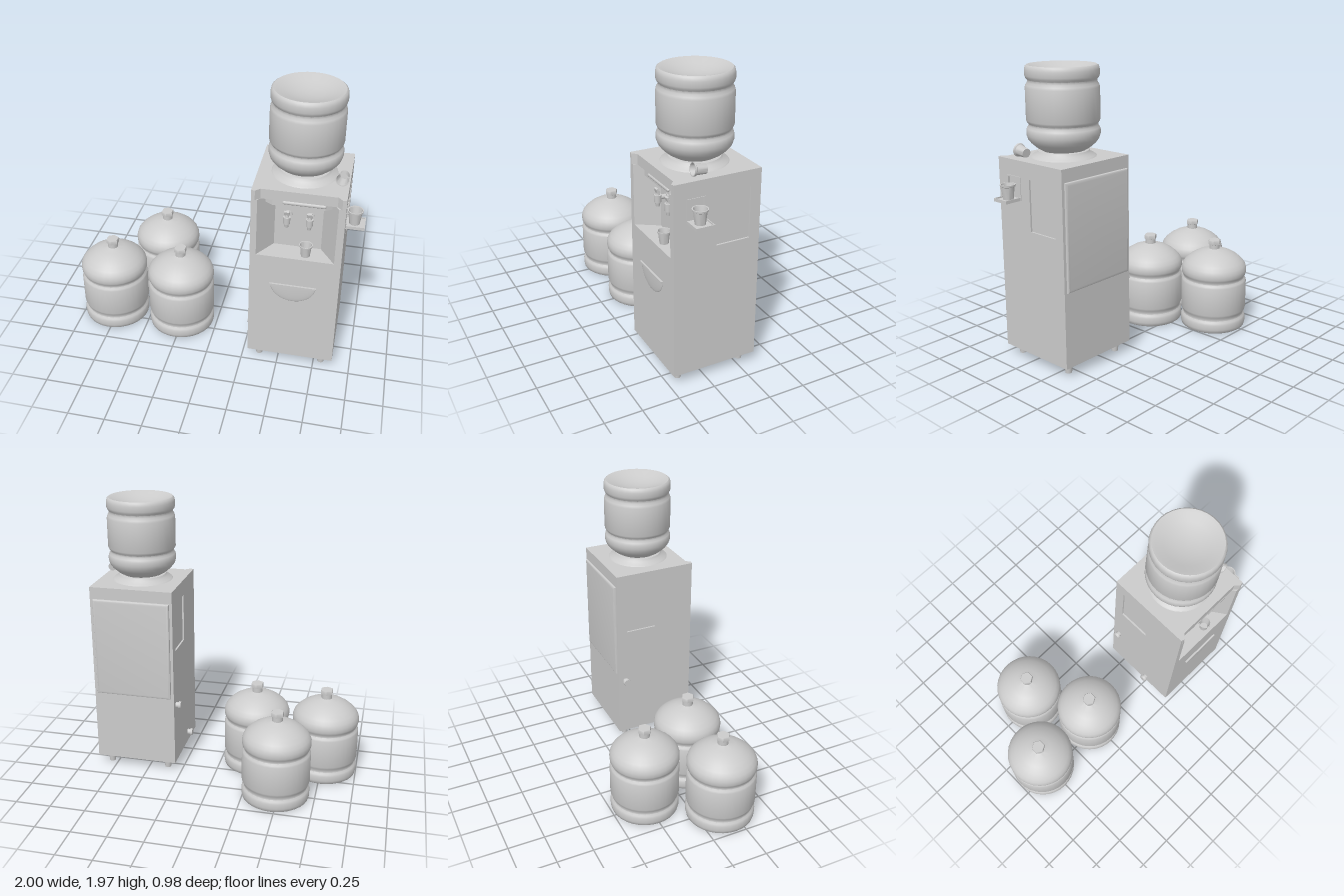
import * as THREE from 'three';
import { toCreasedNormals } from 'three/addons/utils/BufferGeometryUtils.js';

const material = new THREE.MeshStandardMaterial({ color: 0xcccccc });
const thin = new THREE.MeshStandardMaterial({ color: 0xcccccc, side: THREE.DoubleSide });
const CX = 0.585, CZ = 0.18; // cabinet centre

function add(parent, name, geometry, x = 0, y = 0, z = 0, mat = material) {
  const mesh = new THREE.Mesh(geometry, mat);
  mesh.name = name;
  mesh.position.set(x, y, z);
  parent.add(mesh);
  return mesh;
}

const shapeOf = (pts) => new THREE.Shape(pts.map(([a, b]) => new THREE.Vector2(a, b)));
const rect = (x0, y0, x1, y1) => [[x0, y0], [x1, y0], [x1, y1], [x0, y1]];
const lathe = (pts, sides = 24) =>
  toCreasedNormals(new THREE.LatheGeometry(pts.map(([r, y]) => new THREE.Vector2(r, y)), sides), 0.7);

// Upright prism from a plan outline given as [x, z]
function prism(plan, y0, y1) {
  const geo = new THREE.ExtrudeGeometry(shapeOf(plan.map(([x, z]) => [x, -z])), { depth: y1 - y0, bevelEnabled: false });
  geo.rotateX(-Math.PI / 2);
  geo.translate(0, y0, 0);
  return geo;
}

// Ribbed bottle with a dished base, a domed shoulder and a six-sided cap
function makeBottle(name) {
  const g = new THREE.Group();
  g.name = name;
  add(g, 'bottleBody', lathe([
    [0, 0.05], [0.08, 0.044], [0.15, 0.026], [0.2, 0.006], [0.222, 0], [0.232, 0.008],
    [0.237, 0.03], [0.237, 0.065], [0.232, 0.08], [0.222, 0.092], [0.222, 0.108], [0.232, 0.124], [0.237, 0.14],
    [0.237, 0.345], [0.232, 0.358], [0.222, 0.37], [0.222, 0.383], [0.232, 0.397], [0.237, 0.412],
    [0.237, 0.44], [0.228, 0.468], [0.208, 0.494], [0.175, 0.523], [0.13, 0.55], [0.085, 0.568], [0.05, 0.575], [0.036, 0.58],
  ], 32));
  add(g, 'bottleNeck', new THREE.CylinderGeometry(0.037, 0.037, 0.05, 12), 0, 0.595, 0);
  const cap = lathe([[0.037, 0.61], [0.046, 0.614], [0.047, 0.64], [0.043, 0.646], [0, 0.646]], 6);
  add(g, 'bottleCap', cap);
  return g;
}

// Open cup with a wall, a rim and a floor
function makeCup(parent, name, x, y, z, s = 1) {
  const cup = add(parent, name, lathe([
    [0, 0], [0.029, 0], [0.037, 0.07], [0.043, 0.074], [0.044, 0.084], [0.038, 0.084], [0.036, 0.075], [0.026, 0.008], [0, 0.008],
  ], 20), x, y, z, thin);
  cup.scale.setScalar(s);
  return cup;
}

function makeTap(x) {
  const g = new THREE.Group();
  g.name = 'tap';
  g.position.set(x, 1.14, 0.33);
  add(g, 'tapFlange', new THREE.CylinderGeometry(0.028, 0.028, 0.012, 16).rotateX(Math.PI / 2), 0, 0, 0.006);
  add(g, 'tapPipe', new THREE.CylinderGeometry(0.015, 0.015, 0.06, 12).rotateX(Math.PI / 2), 0, 0, 0.03);
  add(g, 'tapBody', new THREE.CylinderGeometry(0.024, 0.022, 0.05, 14), 0, -0.005, 0.065);
  add(g, 'tapNozzle', new THREE.CylinderGeometry(0.018, 0.012, 0.03, 12), 0, -0.042, 0.065);
  add(g, 'tapStem', new THREE.CylinderGeometry(0.01, 0.014, 0.025, 10), 0, 0.03, 0.065);
  add(g, 'tapLever', new THREE.BoxGeometry(0.034, 0.03, 0.014), 0, 0.05, 0.072).rotation.x = 0.3;
  return g;
}

function makeCabinet() {
  const g = new THREE.Group();
  g.name = 'cabinet';
  const x0 = 0.302, x1 = 0.868, back = -0.115, front = 0.475;

  // Core in three layers; the middle one has the alcove cut into its front
  add(g, 'lowerBody', prism(rect(x0, back, x1, front), 0.07, 0.895));
  add(g, 'alcoveBody', prism([
    [x0, back], [x1, back], [x1, front], [0.835, front], [0.735, 0.33], [0.425, 0.33], [0.33, front], [x0, front],
  ], 0.895, 1.31));
  add(g, 'topBody', prism([
    [x0, back], [x1, back], [x1, front + 0.004], [0.855, front + 0.004], [0.825, 0.45], [0.345, 0.45], [0.315, front + 0.004], [x0, front + 0.004],
  ], 1.31, 1.38));
  add(g, 'alcoveHeader', prism([[0.37, 0.41], [0.425, 0.33], [0.735, 0.33], [0.795, 0.41], [0.75, 0.44], [0.42, 0.44]], 1.265, 1.31));
  add(g, 'headerBar', new THREE.CapsuleGeometry(0.013, 0.25, 4, 10).rotateZ(Math.PI / 2), 0.62, 1.295, 0.44);

  // Side skins with shallow recessed panels
  for (const side of [-1, 1]) {
    const skin = shapeOf(rect(back, 0.07, front, 1.38));
    skin.holes.push(new THREE.Path(rect(-0.045, 0.93, 0.185, 1.27).map(([a, b]) => new THREE.Vector2(a, b))));
    if (side > 0) skin.holes.push(new THREE.Path(rect(0.275, 1.13, 0.385, 1.265).map(([a, b]) => new THREE.Vector2(a, b))));
    const geo = new THREE.ExtrudeGeometry(skin, { depth: 0.012, bevelEnabled: false });
    geo.rotateY(-Math.PI / 2); // shape x becomes z, depth runs to -x
    add(g, side > 0 ? 'leftSide' : 'rightSide', geo, side > 0 ? 0.88 : x0, 0, 0);
  }

  // Bevelled back panel
  const panel = new THREE.ExtrudeGeometry(shapeOf(rect(0.33, 0.605, 0.84, 1.275)),
    { depth: 0.006, bevelThickness: 0.011, bevelSize: 0.02, bevelSegments: 3 });
  add(g, 'backPanel', toCreasedNormals(panel, 0.6), 0, 0, back - 0.005);

  // Half-moon door grip
  const grip = new THREE.Group();
  grip.name = 'doorGrip';
  grip.position.set(0.582, 0.68, front);
  add(grip, 'gripBowl', new THREE.SphereGeometry(1, 32, 10, 0, Math.PI * 2, Math.PI / 2, Math.PI / 2), 0, 0, 0, thin).scale.set(0.15, 0.13, 0.012);
  add(grip, 'gripLip', new THREE.BoxGeometry(0.305, 0.012, 0.014), 0, -0.004, 0.006);
  g.add(grip);

  // Feet
  for (const x of [0.365, 0.8]) for (const z of [0.41, -0.045])
    add(g, 'foot', new THREE.CylinderGeometry(0.029, 0.022, 0.075, 16), x, 0.0375, z);

  // Drain knobs on the right side
  for (const [y, z] of [[0.52, -0.06], [0.145, 0.25]]) {
    add(g, 'drainStem', new THREE.CylinderGeometry(0.021, 0.021, 0.035, 14).rotateZ(Math.PI / 2), 0.28, y, z);
    add(g, 'drainCap', new THREE.CylinderGeometry(0.025, 0.029, 0.016, 14).rotateZ(Math.PI / 2), 0.26, y, z);
  }

  // Collar that seats the bottle
  add(g, 'collar', lathe([[0.215, 1.378], [0.205, 1.388], [0.175, 1.402], [0.165, 1.42], [0.15, 1.424], [0.09, 1.405], [0, 1.4]], 32), CX, 0, CZ);

  for (const x of [0.51, 0.655]) g.add(makeTap(x));
  return g;
}

function makeCupHolder() {
  const g = new THREE.Group();
  g.name = 'cupHolder';
  const frame = shapeOf(rect(0.265, 1.12, 0.395, 1.275));
  frame.holes.push(new THREE.Path(rect(0.275, 1.13, 0.385, 1.265).map(([a, b]) => new THREE.Vector2(a, b))));
  add(g, 'holderFrame', new THREE.ExtrudeGeometry(frame, { depth: 0.006, bevelEnabled: false }).rotateY(-Math.PI / 2), 0.884, 0, 0);
  add(g, 'holderTray', new THREE.BoxGeometry(0.12, 0.012, 0.122), 0.94, 1.126, 0.33);
  for (const z of [0.272, 0.388]) add(g, 'trayRim', new THREE.BoxGeometry(0.12, 0.02, 0.006), 0.94, 1.131, z);
  add(g, 'trayFrontRim', new THREE.BoxGeometry(0.006, 0.02, 0.122), 0.997, 1.131, 0.33);
  makeCup(g, 'heldCup', 0.932, 1.132, 0.33, 1.15);
  return g;
}

export function createModel() {
  const model = new THREE.Group();
  model.name = 'waterCooler';
  model.add(makeCabinet(), makeCupHolder());

  // Bottle upside down on the cabinet
  const mounted = makeBottle('mountedBottle');
  mounted.rotation.x = Math.PI;
  mounted.position.set(CX - 0.002, 1.965, CZ - 0.003);
  model.add(mounted);

  // Spare bottles on the floor
  for (const [x, z] of [[-0.763, 0.175], [-0.26, 0.175], [-0.475, -0.258]]) {
    const spare = makeBottle('spareBottle');
    spare.position.set(x, 0, z);
    model.add(spare);
  }

  // Loose cups: one under the taps, one lying on top
  makeCup(model, 'alcoveCup', 0.645, 0.896, 0.42);
  const lying = makeCup(model, 'lyingCup', 0.84, 1.425, 0.245);
  lying.rotation.set(Math.PI / 2 - 0.12, 0, 0.1);
  return model;
}
